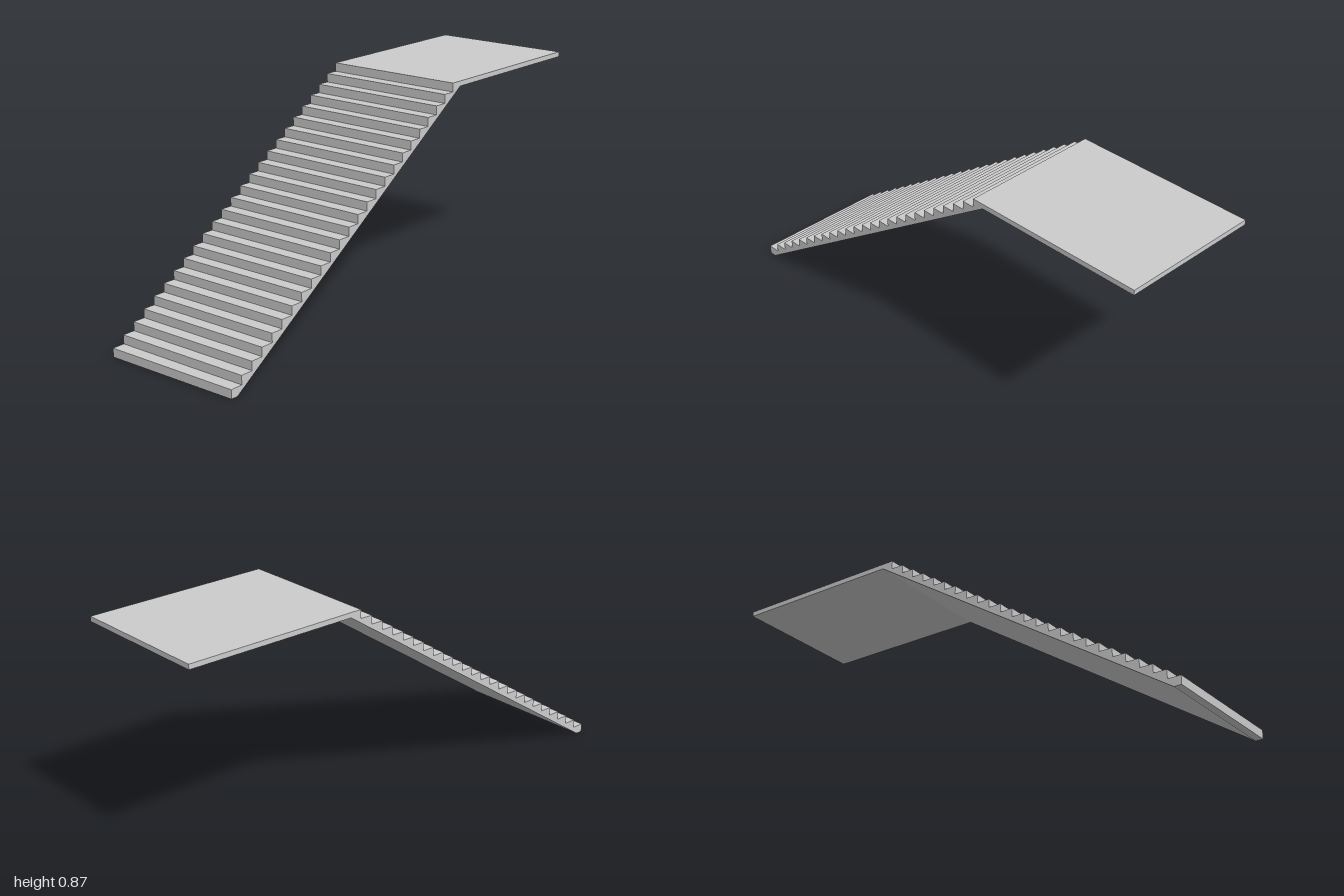
import * as THREE from 'three';

const WIDTH = 0.58, HEIGHT = 0.868, RISERS = 25;
const FRONT = 1, BACK = -1, LANDING_FRONT = -0.25, SLAB = 0.02;

export function createModel() {
  const group = new THREE.Group();
  group.name = 'staircaseWithLanding';

  const rise = HEIGHT / RISERS;
  const run = (FRONT - LANDING_FRONT) / (RISERS - 1);

  // Side profile, drawn as (-z, y): underside first, then down the steps
  const profile = new THREE.Shape();
  profile.moveTo(-FRONT, 0);
  profile.lineTo(-0.97, 0);
  profile.lineTo(0.297, HEIGHT - SLAB);
  profile.lineTo(-BACK, HEIGHT - SLAB);
  profile.lineTo(-BACK, HEIGHT);
  for (let i = RISERS - 1; i >= 0; i--) {
    const u = -FRONT + i * run;
    profile.lineTo(u, (i + 1) * rise);
    if (i > 0) profile.lineTo(u, i * rise);
  }
  profile.closePath();

  // Extrude across the width and turn the profile to face +z
  const geometry = new THREE.ExtrudeGeometry(profile, { depth: WIDTH, bevelEnabled: false });
  geometry.translate(0, 0, -WIDTH / 2);
  geometry.rotateY(Math.PI / 2);

  const material = new THREE.MeshStandardMaterial({ color: 0xcccccc, flatShading: true });
  const stairs = new THREE.Mesh(geometry, material);
  stairs.name = 'stepsAndLanding';
  group.add(stairs);
  return group;
}
